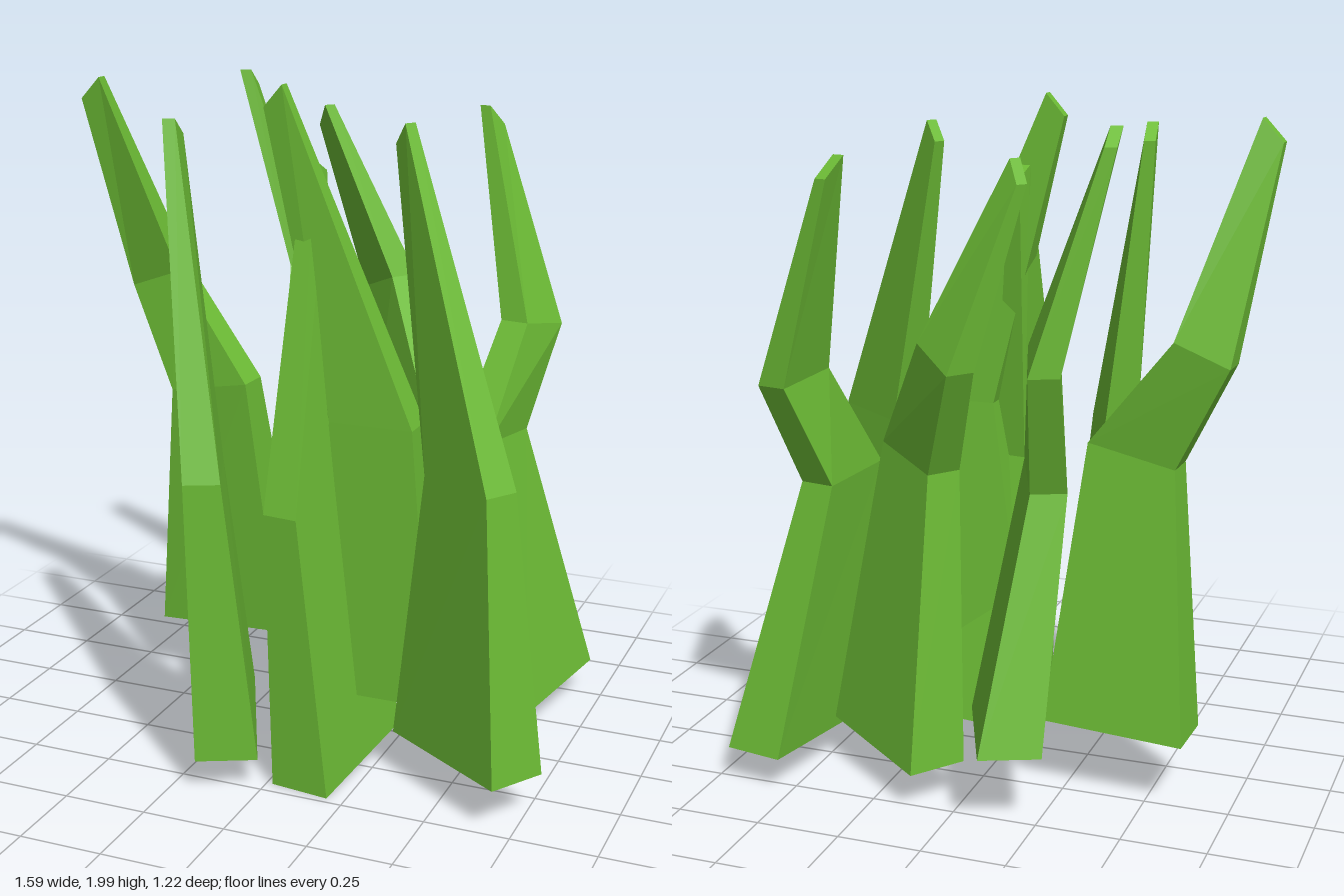
import * as THREE from 'three';

const material = new THREE.MeshStandardMaterial({ color: 0x6cbb35, flatShading: true });

// Thickness of the sections from root to tip, for straight and kinked blades
const STRAIGHT = [0.18, 0.105, 0.035];
const KINKED = [0.18, 0.105, 0.088, 0.034];

// Loft a four-sided blade. Each section is [inner x, y, z, outer x, y, z];
// the thickness runs level, square to the heading of the root section.
function blade(name, widths, ...sections) {
  const root = sections[0];
  const heading = new THREE.Vector3(root[3] - root[0], 0, root[5] - root[2]).normalize();
  const side = new THREE.Vector3(-heading.z, 0, heading.x);
  const positions = [];
  sections.forEach((s, i) => {
    const inner = new THREE.Vector3(s[0], s[1], s[2]);
    const outer = new THREE.Vector3(s[3], s[4], s[5]);
    const h = widths[i] / 2;
    for (const [p, k] of [[inner, h], [outer, h], [outer, -h], [inner, -h]]) {
      positions.push(...p.clone().addScaledVector(side, k).toArray());
    }
  });
  const index = [0, 2, 1, 0, 3, 2]; // root cap
  for (let r = 0; r < sections.length - 1; r++) {
    for (let i = 0; i < 4; i++) {
      const a = r * 4 + i, b = r * 4 + (i + 1) % 4;
      index.push(a, b, b + 4, a, b + 4, a + 4);
    }
  }
  const t = (sections.length - 1) * 4;
  index.push(t, t + 1, t + 2, t, t + 2, t + 3); // tip cap
  const geometry = new THREE.BufferGeometry();
  geometry.setAttribute('position', new THREE.Float32BufferAttribute(positions, 3));
  geometry.setIndex(index);
  const flat = geometry.toNonIndexed();
  flat.computeVertexNormals();
  const mesh = new THREE.Mesh(flat, material);
  mesh.name = name;
  return mesh;
}

export function createModel() {
  const group = new THREE.Group();
  group.name = 'grassTuft';

  // Front row: blades with a single bend
  group.add(
    blade('frontRightBlade', STRAIGHT,
      [-0.28, 0.155, 0.14, -0.085, 0.105, 0.55],
      [-0.24, 0.935, 0.335, -0.13, 0.945, 0.585],
      [-0.33, 1.86, 0.29, -0.32, 1.91, 0.36]),
    blade('frontMiddleBlade', STRAIGHT,
      [0.165, 0.058, 0.01, 0.108, 0.007, 0.468],
      [0.08, 0.88, 0.205, 0.05, 0.835, 0.465],
      [0.032, 1.755, 0.113, 0.018, 1.79, 0.167]),
    blade('centreBlade', STRAIGHT,
      [-0.02, 0.235, 0.165, 0.43, 0.235, 0.165],
      [0.11, 1.06, 0.195, 0.36, 1.06, 0.195],
      [-0.1, 1.935, 0.198, -0.04, 2, 0.208]),
    blade('frontLeftBlade', STRAIGHT,
      [0.365, 0.14, 0.18, 0.745, 0.14, 0.425],
      [0.445, 0.955, 0.255, 0.672, 0.962, 0.405],
      [0.288, 1.85, 0.165, 0.325, 1.91, 0.195]));

  // Back row: blades with a kink halfway up
  group.add(
    blade('outerRightBlade', KINKED,
      [-0.62, 0.21, -0.205, -0.2, 0.23, -0.19],
      [-0.555, 1.0, -0.135, -0.29, 1.05, -0.107],
      [-0.713, 1.31, -0.187, -0.548, 1.37, -0.167],
      [-0.795, 1.905, -0.015, -0.735, 1.97, -0.015]),
    blade('backRightBlade', KINKED,
      [-0.2, 0.235, -0.578, -0.025, 0.2, -0.158],
      [-0.24, 0.95, -0.365, -0.14, 0.98, -0.125],
      [-0.27, 1.31, -0.502, -0.222, 1.37, -0.357],
      [-0.425, 1.92, -0.43, -0.422, 1.97, -0.365]),
    blade('backMiddleBlade', KINKED,
      [0.06, 0.12, -0.47, 0.42, 0.14, -0.2],
      [0.075, 0.98, -0.36, 0.28, 1.02, -0.2],
      [-0.025, 1.3, -0.485, 0.105, 1.36, -0.375],
      [-0.172, 1.81, -0.4, -0.14, 1.875, -0.365]),
    blade('backLeftBlade', KINKED,
      [0.617, 0.112, -0.543, 0.538, 0.102, -0.098],
      [0.46, 0.915, -0.383, 0.415, 0.93, -0.13],
      [0.533, 1.225, -0.51, 0.472, 1.255, -0.342],
      [0.347, 1.82, -0.547, 0.317, 1.88, -0.492]));

  return group;
}
